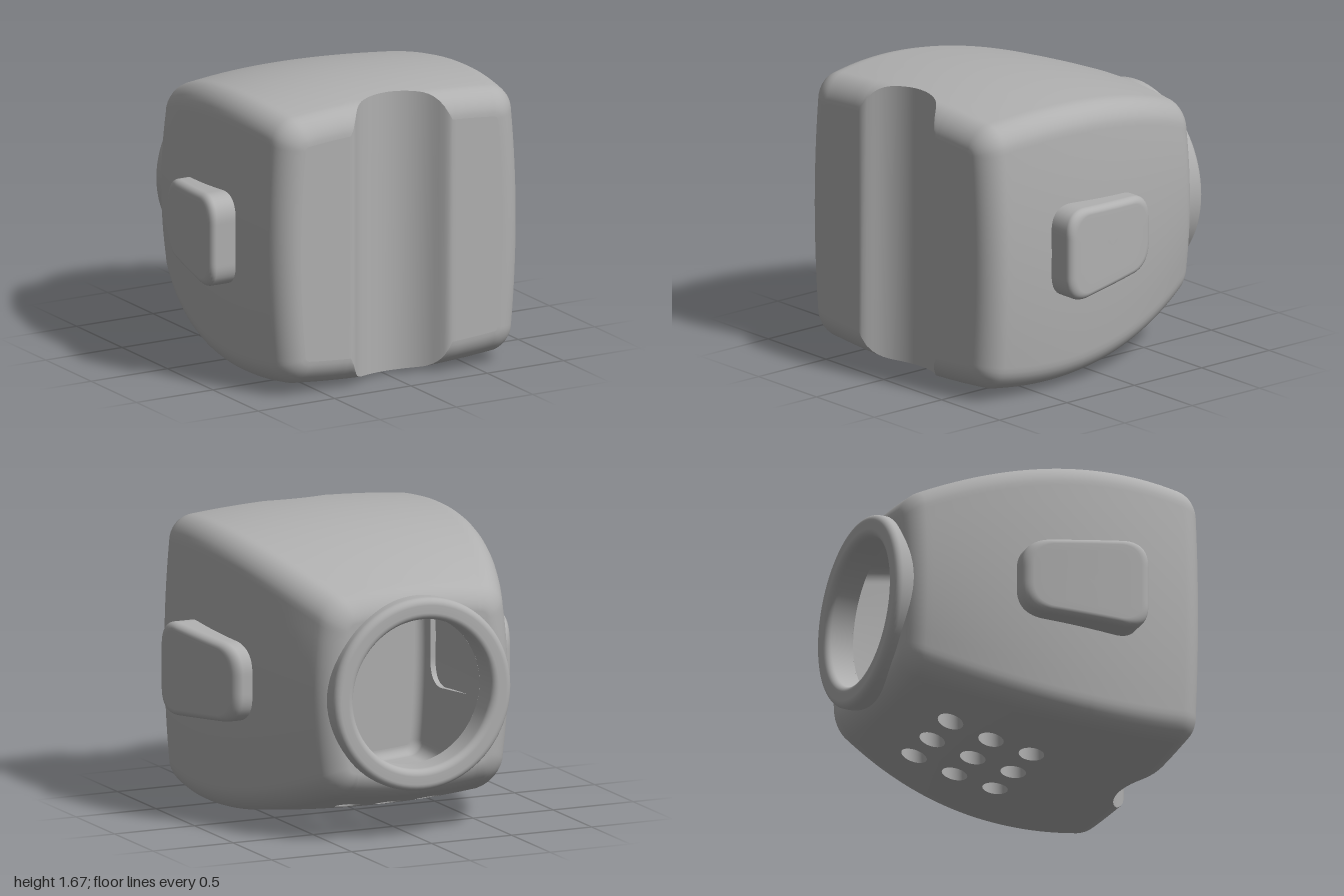
import * as THREE from 'three';
import { mergeGeometries } from 'three/addons/utils/BufferGeometryUtils.js';

const CY = 0.84;        // height of the body axis
const CROWN = 0.03;     // slight bulge of each wall
const PATCH = 0.375;    // half size of the perforated floor area
const PATCH_Z = -0.18;
const FIX = 18;         // grid steps across half the patch
const FRONT = 0.9;

// Surface through closed rows of [x, y, z] points; skip(i, j) leaves cells open
function surface(rows, flip = false, closed = true, skip = () => false) {
  const n = rows[0].length, index = [];
  for (let i = 0; i < rows.length - 1; i++) {
    for (let j = 0; j < (closed ? n : n - 1); j++) {
      if (skip(i, j)) continue;
      const k = (j + 1) % n;
      const a = i * n + j, b = i * n + k, c = (i + 1) * n + k, d = (i + 1) * n + j;
      if (flip) index.push(a, b, d, b, c, d);
      else index.push(a, d, b, b, d, c);
    }
  }
  const g = new THREE.BufferGeometry();
  g.setAttribute('position', new THREE.Float32BufferAttribute(rows.flat(2), 3));
  g.setIndex(index);
  g.computeVertexNormals();
  return g;
}

// Half size of the square body along z
const halfSize = z => 0.835 - 0.18 * (z - 0.4) ** 2;

// Front face position with the rounded vertical channel
function channelZ(x) {
  const R = 0.34, k = 0.06;
  const arc = 0.72 + R - Math.sqrt(Math.max(0, R * R - x * x));
  const h = Math.max(k - Math.abs(arc - FRONT), 0) / k;
  return Math.min(arc, FRONT) - h * h * k / 4;
}

// Dimensions of the two skins of the hollow body
const OUTER = { off: 0, back: -0.83, front: FRONT, fb: 0.1, ff: 0.13, r: 0.15, hole: 0.45, channel: true };
const INNER = { off: 0.1, back: -0.73, front: 0.62, fb: 0.05, ff: 0.05, r: 0.08, hole: 0.43, channel: false };

// Cross-section values at z: half size, corner radius, corner centre
function section(s, z) {
  const fillet = (d, f) => (d < f ? f - Math.sqrt(Math.max(0, f * f - (f - d) ** 2)) : 0);
  const inset = fillet(z - s.back, s.fb) + fillet(s.front - z, s.ff);
  const a = halfSize(z) - s.off - inset;
  const r = Math.max(s.r - inset, 0.03);
  return { a, r, e: a - CROWN - r };
}

const wallY = (s, x, z) => {
  const { a, e } = section(s, z);
  return a - CROWN * (x / e) ** 2;
};

// One closed outline, clockwise from the top centre
function outline(s, z0) {
  const q = [], { a, r, e } = section(s, z0);
  const zb = PATCH_Z + PATCH;
  for (let i = 0; i <= FIX; i++) {
    const x = PATCH * i / FIX;
    const z = s.channel && z0 > zb ? zb + (z0 - zb) * (channelZ(x) - zb) / (FRONT - zb) : z0;
    q.push([x, wallY(s, x, z), z]);
  }
  for (let i = 1; i <= 4; i++) {
    const x = PATCH + (e - PATCH) * i / 4;
    q.push([x, a - CROWN * (x / e) ** 2, z0]);
  }
  for (let i = 1; i <= 8; i++) {
    const t = i / 8 * Math.PI / 2;
    q.push([e + r * Math.sin(t), e + r * Math.cos(t), z0]);
  }
  for (let i = 1; i <= 6; i++) {
    const y = e * (1 - i / 6);
    q.push([a - CROWN * (y / e) ** 2, y, z0]);
  }
  const n = q.length - 1, ring = [];
  for (let j = 0; j < 4 * n; j++) {
    const k = j % (2 * n), p = q[k <= n ? k : 2 * n - k];
    const sx = j <= 2 * n ? 1 : -1, sy = j <= n || j >= 3 * n ? 1 : -1;
    ring.push([sx * p[0], CY + sy * p[1], p[2]]);
  }
  return ring;
}

// Skin: back opening, walls with the floor patch left open, front face
function skin(s, flip) {
  const zs = [], zA = PATCH_Z - PATCH, zB = PATCH_Z + PATCH;
  const span = (from, to, n) => { for (let i = 0; i < n; i++) zs.push(from + (to - from) * i / n); };
  for (let i = 0; i < 8; i++) zs.push(s.back + s.fb * (1 - Math.cos(i / 8 * Math.PI / 2)));
  span(s.back + s.fb, zA, 6);
  const iA = zs.length + 1;
  span(zA, zB, 2 * FIX);
  const iB = zs.length + 1;
  span(zB, s.front - s.ff, 14);
  for (let i = 0; i <= 10; i++) zs.push(s.front - s.ff * (1 - Math.sin(i / 10 * Math.PI / 2 + 0) ** 1) * 1);
  // even steps around the front edge
  for (let i = 0; i <= 10; i++) zs[zs.length - 11 + i] = s.front - s.ff * (1 - Math.cos((1 - i / 10) * Math.PI / 2));

  const rows = zs.map(z => outline(s, z));
  const last = rows[rows.length - 1], N = last.length, n = N / 4;
  rows.unshift(rows[0].map(([x, y, z]) => {
    const l = s.hole / Math.hypot(x, y - CY);
    return [x * l, CY + (y - CY) * l, z];
  }));
  const walls = surface(rows, flip, true,
    (i, j) => i >= iA && i < iB && j >= 2 * n - FIX && j < 2 * n + FIX);

  const top = [], bottom = [];
  for (let k = -n; k <= n; k++) {
    top.push(last[(k + N) % N]);
    bottom.push(last[2 * n - k]);
  }
  return [walls, surface([top, bottom], flip, false)];
}

// Floor tile with a round hole, its inner face and the hole wall
function floorTile(cx, cz) {
  const h = PATCH / 3, R = 0.072, per = 12;
  const square = [];
  for (let side = 0; side < 4; side++) {
    for (let i = 0; i < per; i++) {
      const t = -h + 2 * h * i / per;
      square.push([[h, t], [-t, h], [-h, -t], [t, -h]][side]);
    }
  }
  const ring = (s, f) => square.map(([x, z]) => {
    const l = R / Math.hypot(x, z);
    const px = cx + x * (l + (1 - l) * f), pz = cz + z * (l + (1 - l) * f);
    return [px, CY - wallY(s, px, pz), pz];
  });
  const face = s => [0, 0.33, 0.67, 1].map(f => ring(s, f));
  return [
    surface(face(OUTER)),
    surface(face(INNER), true),
    surface([ring(OUTER, 0), ring(INNER, 0)], true),
  ];
}

// Side grip: rounded tapering pad with a curved outer face
function gripGeometry(side) {
  const corners = [[0.47, 1.12], [-0.25, 1.055], [-0.25, 0.625], [0.47, 0.56]].map(c => new THREE.Vector2(...c));
  const shape = new THREE.Shape();
  corners.forEach((p, i) => {
    const toward = q => p.clone().add(q.clone().sub(p).setLength(0.14));
    const a = toward(corners[(i + 3) % 4]), b = toward(corners[(i + 1) % 4]);
    if (i === 0) shape.moveTo(a.x, a.y); else shape.lineTo(a.x, a.y);
    shape.quadraticCurveTo(p.x + (a.x + b.x - 2 * p.x) * 0.06, p.y + (a.y + b.y - 2 * p.y) * 0.06, b.x, b.y);
  });
  shape.closePath();
  const pts = shape.getSpacedPoints(96).slice(0, -1);
  const outerX = z => 1 - 0.13 * (0.46 - z) - 0.09 * (0.46 - z) ** 2;
  const bevel = 0.045;
  const row = (s, drop, base) => pts.map(p => {
    const z = 0.11 + (p.x - 0.11) * s, y = CY + (p.y - CY) * s;
    return [side * (base ?? outerX(z) - drop), y, z];
  });
  const rows = [row(1, 0, 0.7)];
  let s = 1;
  for (let i = 0; i <= 6; i++) {
    const t = i / 6 * Math.PI / 2;
    s = 1 - bevel / 0.3 * (1 - Math.cos(t));
    rows.push(row(s, bevel * (1 - Math.sin(t))));
  }
  for (let i = 1; i <= 5; i++) rows.push(row(s * (1 - i / 5), 0));
  return surface(rows, side < 0);
}

// Rounded lip around the back opening
function lipGeometry() {
  const pts = [[0.555, 0.74], [0.555, 0.84]], r = 0.04;
  for (const [cx, start] of [[0.515, 0], [0.47, Math.PI / 2]]) {
    for (let i = 0; i <= 6; i++) {
      const t = start + i / 6 * Math.PI / 2;
      pts.push([cx + r * Math.cos(t), 0.86 + r * Math.sin(t)]);
    }
  }
  pts.push([0.43, 0.84], [0.43, 0.725]);
  const g = new THREE.LatheGeometry(pts.map(p => new THREE.Vector2(...p)), 80);
  return g.rotateX(-Math.PI / 2).translate(0, CY, 0);
}

export function createModel() {
  const group = new THREE.Group();
  const grey = new THREE.MeshStandardMaterial({ color: 0xb0b0b0, side: THREE.DoubleSide });
  grey.name = 'plainGrey';
  const add = (name, geometry) => {
    const mesh = new THREE.Mesh(geometry, grey);
    mesh.name = name;
    group.add(mesh);
  };

  add('outerBody', mergeGeometries(skin(OUTER, false)));
  add('innerCavity', mergeGeometries(skin(INNER, true)));

  const tiles = [];
  for (const i of [-1, 0, 1]) {
    for (const j of [-1, 0, 1]) tiles.push(...floorTile(i * PATCH * 2 / 3, PATCH_Z + j * PATCH * 2 / 3));
  }
  add('perforatedFloor', mergeGeometries(tiles));

  add('backLip', lipGeometry());
  add('leftGrip', gripGeometry(1));
  add('rightGrip', gripGeometry(-1));
  return group;
}
